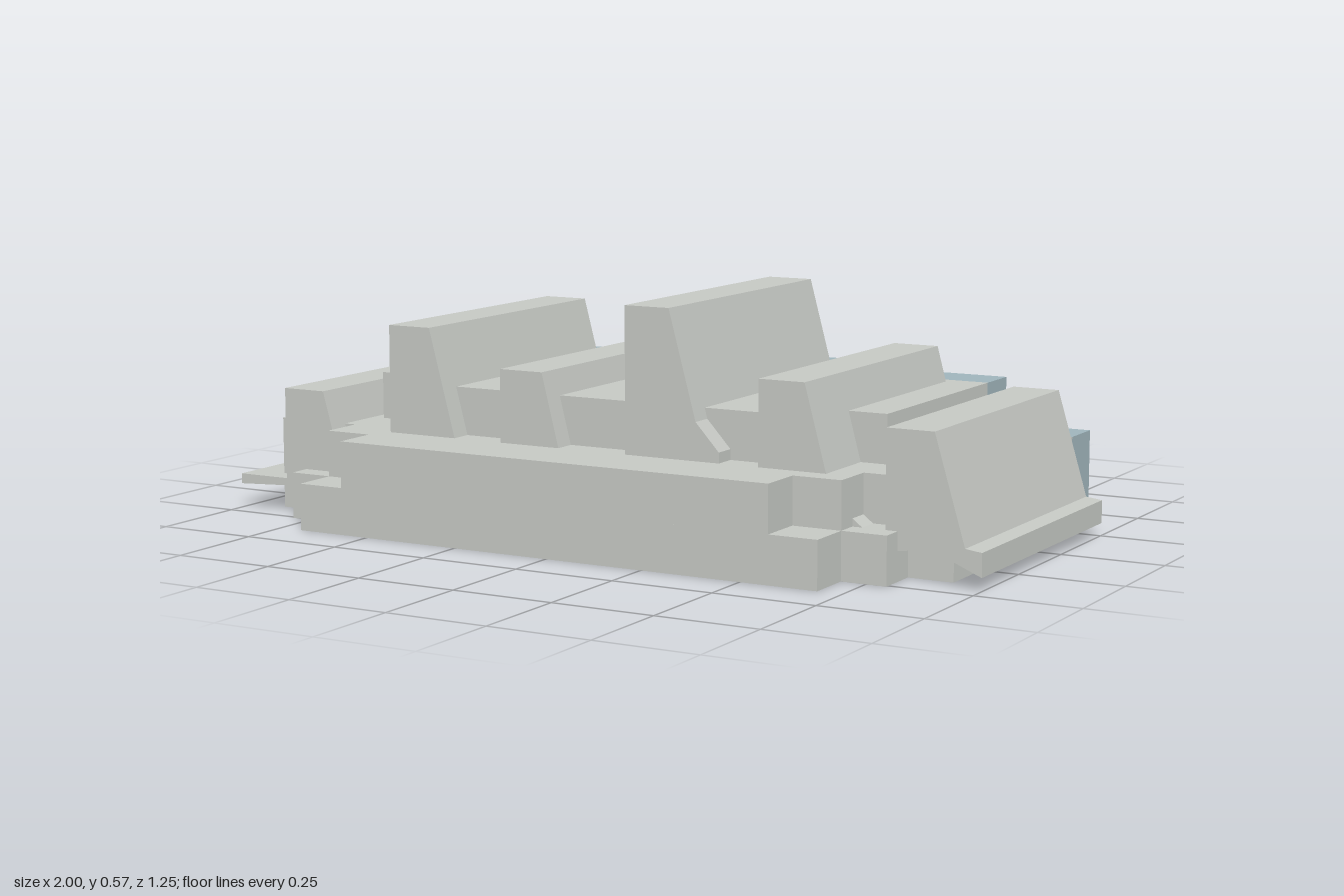
import * as THREE from 'three';

export function createModel() {
  const model = new THREE.Group();
  const grey = new THREE.MeshStandardMaterial({ color: 0xc5c8c3 });
  grey.name = 'pale grey';
  const blue = new THREE.MeshStandardMaterial({ color: 0x9fb4bb });
  blue.name = 'slate blue';

  const levels = [0.575, 0.688, 0.8, 0.915];

  const add = (geometry, material, name) => {
    const mesh = new THREE.Mesh(geometry, material);
    mesh.name = name;
    model.add(mesh);
  };

  // Block on one level, from x0 to x1 and z0 to z1
  const block = (level, x0, x1, z0, z1, material, name) => {
    const y0 = levels[level], y1 = levels[level + 1];
    const g = new THREE.BoxGeometry(x1 - x0, y1 - y0, z1 - z0);
    g.translate((x0 + x1) / 2, (y0 + y1) / 2, (z0 + z1) / 2);
    add(g, material, name);
  };
  const centred = (level, half, z0, z1, material, name) =>
    block(level, -half, half, z0, z1, material, name);

  // Stepped lower and middle tiers: [half width, back, front]
  for (const level of [0, 1]) {
    const tier = level === 0 ? 'lowerTier' : 'middleTier';
    const front = level === 0
      ? [[0.8, 0.4, 0.51], [0.69, 0.51, 0.625]]
      : [[0.69, 0.4, 0.51], [0.57, 0.51, 0.625]];
    const rows = [[0.8, -0.4, -0.285], [0.91, -0.285, 0.4], ...front];
    rows.forEach(([h, z0, z1]) => centred(level, h, z0, z1, grey, tier));

    // Back edge, stepping in towards the rear
    centred(level, 0.69, -0.51, -0.4, level === 0 ? grey : blue, tier + 'Rear');
    centred(level, level === 0 ? 0.69 : 0.57, -0.63, -0.51, blue, tier + 'BackEdge');
    for (const s of [-1, 1]) {
      const corner = (a, b, z0, z1) =>
        block(level, Math.min(s * a, s * b), Math.max(s * a, s * b), z0, z1, blue, tier + 'Corner');
      corner(0.69, 0.8, -0.51, -0.4);
      corner(0.8, 0.91, -0.4, -0.285);
    }
  }

  // Top tier
  centred(2, 0.57, 0.28, 0.4, grey, 'topTierFront');
  centred(2, 0.69, -0.285, 0.28, grey, 'topTier');
  centred(2, 0.69, -0.4, -0.285, blue, 'topTierRear');
  centred(2, 0.46, -0.51, -0.4, blue, 'topTierBackEdge');

  // Slanted fins: profiles in x and y, drawn out along z
  const fins = [
    [[-1, 0.635], [-0.8, 0.645], [-0.69, 0.69], [-0.745, 0.885], [-0.86, 0.885], [-0.86, 0.66], [-1, 0.66]],
    [[-0.545, 0.78], [-0.355, 0.78], [-0.43, 1.06], [-0.545, 1.06]],
    [[-0.23, 0.78], [-0.065, 0.78], [-0.115, 0.975], [-0.23, 0.975]],
    [[0.11, 0.78], [0.355, 0.78], [0.355, 0.825], [0.295, 0.89], [0.225, 1.145], [0.11, 1.145]],
    [[0.455, 0.78], [0.63, 0.78], [0.57, 1.0], [0.455, 1.0]],
    [[0.77, 0.64], [0.88, 0.655], [1, 0.605], [1, 0.66], [0.96, 0.665], [0.885, 0.915], [0.77, 0.915]],
    [[0.685, 0.68], [0.725, 0.68], [0.685, 0.71]],
  ];
  fins.forEach((points, i) => {
    const shape = new THREE.Shape(points.map(([x, y]) => new THREE.Vector2(x, y)));
    const g = new THREE.ExtrudeGeometry(shape, { depth: 0.71, bevelEnabled: false });
    g.translate(0, 0, -0.255);
    add(g, grey, i < 6 ? 'fin' + (i + 1) : 'smallLip');
  });

  return model;
}
